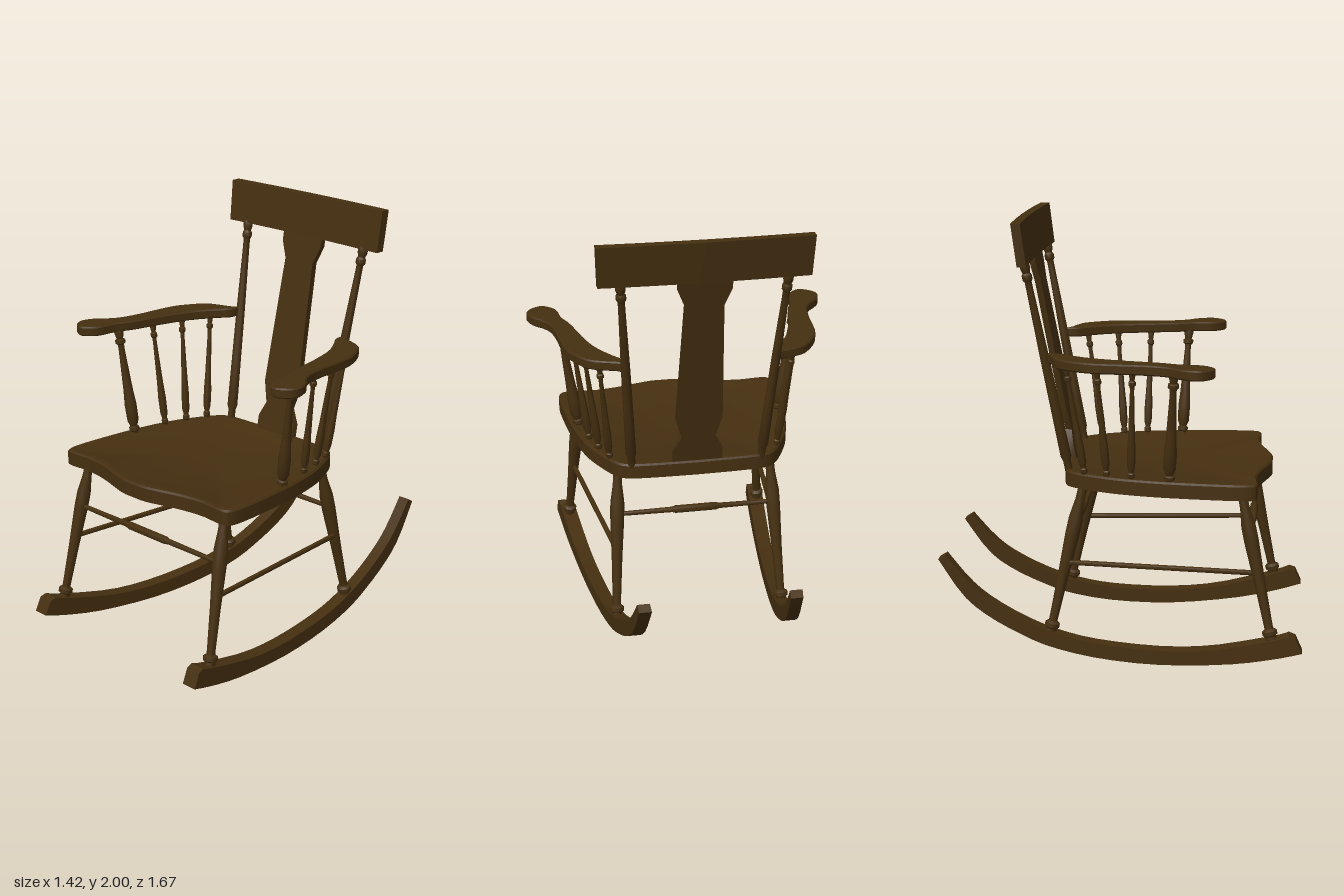
import * as THREE from 'three';
import { toCreasedNormals } from 'three/addons/utils/BufferGeometryUtils.js';

const wood = new THREE.MeshStandardMaterial({ color: 0x452f10 });
wood.name = 'dark walnut';

const V = (x, y, z) => new THREE.Vector3(x, y, z);
const pts2 = (list) => list.map(([x, y]) => new THREE.Vector2(x, y));
const smooth = (list, n) => new THREE.SplineCurve(pts2(list)).getPoints(n);

function add(group, name, geometry) {
  const mesh = new THREE.Mesh(geometry, wood);
  mesh.name = name;
  group.add(mesh);
  return mesh;
}

// Move every vertex by a rule, then rebuild the normals with sharp edges kept
function reshape(geometry, rule) {
  const p = geometry.attributes.position;
  const v = V(0, 0, 0);
  for (let i = 0; i < p.count; i++) {
    rule(v.fromBufferAttribute(p, i));
    p.setXYZ(i, v.x, v.y, v.z);
  }
  return toCreasedNormals(geometry, 0.6);
}

// Turned piece from a to b; profile rows are [fraction along, radius]
function turned(group, name, a, b, profile) {
  const length = a.distanceTo(b);
  const rows = pts2([[0, 0], ...profile.map(([t, r]) => [r, t * length]), [0, length]]);
  const mesh = add(group, name, toCreasedNormals(new THREE.LatheGeometry(rows, 12), 0.7));
  mesh.position.copy(a);
  mesh.quaternion.setFromUnitVectors(V(0, 1, 0), b.clone().sub(a).normalize());
}

// Profiles run from the bottom up
const legProfile = [[0, 0.026], [0.05, 0.024], [0.06, 0.034], [0.085, 0.034], [0.1, 0.02],
  [0.13, 0.02], [0.4, 0.025], [0.68, 0.033], [0.78, 0.033], [0.9, 0.022], [1, 0.02]];
const postProfile = [[0, 0.018], [0.06, 0.018], [0.08, 0.025], [0.3, 0.023], [0.55, 0.021], [0.86, 0.016],
  [0.9, 0.016], [0.91, 0.023], [0.93, 0.023], [0.94, 0.017], [0.96, 0.023], [0.98, 0.023], [1, 0.016]];
const spindleProfile = [[0, 0.6], [0.04, 0.6], [0.05, 0.85], [0.08, 0.85], [0.09, 0.6], [0.14, 0.95], [0.28, 1],
  [0.42, 0.8], [0.8, 0.5], [0.84, 0.55], [0.85, 0.85], [0.88, 0.85], [0.89, 0.55], [0.95, 0.8], [1, 0.6]];
const crossProfile = [[0, 0.01], [0.08, 0.011], [0.35, 0.013], [0.37, 0.018], [0.63, 0.018],
  [0.65, 0.013], [0.92, 0.011], [1, 0.01]];

// Seat from stacked outlines, with a shallow dished top
function seatGeometry() {
  const half = smooth([[0, 0.69], [0.07, 0.688], [0.16, 0.665], [0.26, 0.638], [0.38, 0.622], [0.5, 0.63],
    [0.54, 0.605], [0.545, 0.5], [0.53, 0.3], [0.51, 0.15], [0.475, 0], [0.425, -0.12], [0.38, -0.2],
    [0.33, -0.242], [0.22, -0.255], [0, -0.26]], 40);
  const loop = [...half, ...half.slice(1, -1).reverse().map((p) => new THREE.Vector2(-p.x, p.y))];
  const layers = [[1, 0.8], [1, 0.862], [0.985, 0.87], [0.93, 0.87], [0.88, 0.862]];
  const at = (p, [s, y]) => [p.x * s, y, 0.2 + (p.y - 0.2) * s];
  const out = [];
  loop.forEach((p, i) => {
    const q = loop[(i + 1) % loop.length];
    for (let k = 0; k + 1 < layers.length; k++) {
      const [a, b, c, d] = [at(p, layers[k]), at(q, layers[k]), at(q, layers[k + 1]), at(p, layers[k + 1])];
      out.push(...a, ...b, ...c, ...a, ...c, ...d);
    }
    const top = layers[layers.length - 1];
    out.push(0, top[1], 0.2, ...at(p, top), ...at(q, top));
    out.push(0, 0.8, 0.2, ...at(q, layers[0]), ...at(p, layers[0]));
  });
  const g = new THREE.BufferGeometry();
  g.setAttribute('position', new THREE.Float32BufferAttribute(out, 3));
  return toCreasedNormals(g, 0.5);
}

// Curved runner, splayed outward and widening toward the front
function rockerGeometry(side) {
  const lower = smooth([[0.84, 0.1], [0.7, 0.062], [0.5, 0.025], [0.2, 0.001], [-0.08, 0.012], [-0.3, 0.05],
    [-0.44, 0.1], [-0.6, 0.18], [-0.72, 0.275], [-0.835, 0.44]], 24);
  const upper = smooth([[-0.8, 0.462], [-0.69, 0.335], [-0.58, 0.25], [-0.415, 0.165], [-0.25, 0.11], [-0.07, 0.08],
    [0.19, 0.068], [0.43, 0.087], [0.71, 0.152], [0.78, 0.176]], 24);
  const shape = new THREE.Shape([...lower, ...upper, new THREE.Vector2(0.81, 0.166)]);
  const g = new THREE.ExtrudeGeometry(shape, { depth: 1, bevelEnabled: false });
  return reshape(g, (v) => {
    const z = v.x;
    const width = 0.066 + 0.011 * z;
    v.set(side * (0.425 + 0.101 * z) - (v.z - 0.5) * width, v.y, z);
  });
}

// Flat arm with a sweeping outline and rounded hand rest
function armGeometry(side) {
  const outline = smooth([[0.34, -0.325], [0.34, -0.27], [0.375, -0.22], [0.44, -0.11], [0.487, 0.045], [0.52, 0.2],
    [0.553, 0.29], [0.562, 0.38], [0.6, 0.43], [0.64, 0.443], [0.69, 0.41], [0.708, 0.365], [0.685, 0.3],
    [0.63, 0.235], [0.6, 0.13], [0.585, -0.065], [0.56, -0.155], [0.5, -0.25], [0.43, -0.285], [0.38, -0.3]], 48);
  const shape = new THREE.Shape(outline.map((p) => new THREE.Vector2(p.x * side, -p.y)));
  const g = new THREE.ExtrudeGeometry(shape, { depth: 0.033, bevelThickness: 0.006, bevelSize: 0.006,
    bevelOffset: -0.006, bevelSegments: 1 });
  g.rotateX(-Math.PI / 2).translate(0, 1.37, 0);
  return toCreasedNormals(g, 0.6);
}

export function createModel() {
  const chair = new THREE.Group();
  chair.name = 'rockingChair';
  add(chair, 'seat', seatGeometry());

  // Back splat, leaning with the posts
  const edge = [[0.115, 0.86], [0.115, 0.93], [0.078, 1.0], [0.107, 1.1], [0.087, 1.69], [0.12, 1.77], [0.12, 1.83]];
  const splat = new THREE.Shape(pts2([...edge, ...edge.map(([x, y]) => [-x, y]).reverse()]));
  add(chair, 'backSplat', reshape(new THREE.ExtrudeGeometry(splat, { depth: 0.028, bevelEnabled: false }),
    (v) => { v.z += -0.25 - 0.195 * (v.y - 0.87); }));

  // Crest rail, flared at the top and gently bowed
  add(chair, 'crestRail', reshape(new THREE.BoxGeometry(1, 0.19, 0.042, 12, 1, 1), (v) => {
    const bow = 0.012 * (1 - 4 * v.x * v.x);
    v.x *= 0.945 + 0.08 * v.y;
    v.y += 1.905;
    v.z += -0.414 - 0.13 * (v.y - 1.81) - bow;
  }));

  for (const s of [1, -1]) {
    const side = new THREE.Group();
    side.name = s > 0 ? 'leftSide' : 'rightSide';
    chair.add(side);
    add(side, 'rocker', rockerGeometry(s));
    add(side, 'armRest', armGeometry(s));
    turned(side, 'frontLeg', V(s * 0.5, 0.13, 0.705), V(s * 0.45, 0.81, 0.56), legProfile);
    turned(side, 'backLeg', V(s * 0.398, 0.1, -0.315), V(s * 0.36, 0.81, -0.16), legProfile);
    turned(side, 'backPost', V(s * 0.303, 0.85, -0.23), V(s * 0.37, 1.83, -0.42), postProfile);
    turned(side, 'sideStretcher', V(s * 0.39, 0.45, -0.235), V(s * 0.475, 0.45, 0.632), [[0, 0.012], [1, 0.012]]);

    // Arm spindles: bottom x, z, top x, z, radius
    for (const [x0, z0, x1, z1, r] of [[0.487, 0.237, 0.567, 0.262, 0.029], [0.457, 0.065, 0.53, 0.077, 0.019],
      [0.427, -0.045, 0.495, -0.085, 0.019], [0.392, -0.148, 0.445, -0.23, 0.019]]) {
      turned(side, 'armSpindle', V(s * x0, 0.85, z0), V(s * x1, 1.385, z1), spindleProfile.map(([t, k]) => [t, k * r]));
    }
  }

  // Cross stretchers between the leg pairs
  turned(chair, 'frontStretcher', V(-0.465, 0.6, 0.605), V(0.465, 0.6, 0.605), crossProfile);
  turned(chair, 'backStretcher', V(-0.371, 0.6, -0.206), V(0.371, 0.6, -0.206), crossProfile);
  return chair;
}
